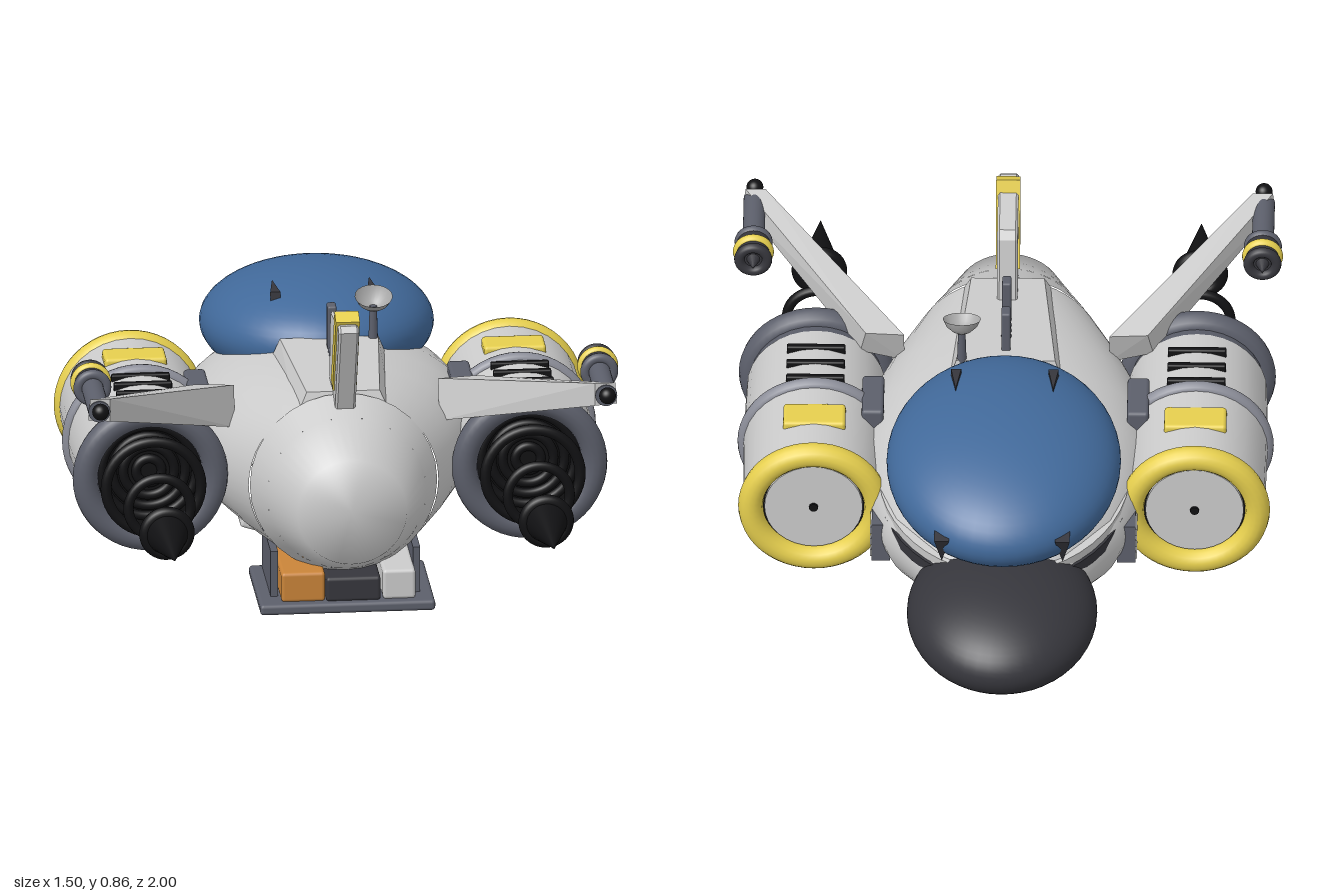
import * as THREE from 'three';
import { ConvexGeometry } from 'three/addons/geometries/ConvexGeometry.js';
import { RoundedBoxGeometry } from 'three/addons/geometries/RoundedBoxGeometry.js';

const mat = (color, side = THREE.FrontSide) => new THREE.MeshStandardMaterial({ color, side });
const GREY = mat(0xcccccc), STEEL = mat(0x5c5f6b), RIM = mat(0x8b8d98), DARK = mat(0x36363c);
const BLACK = mat(0x111113), BLUE = mat(0x41699a), YELLOW = mat(0xe6cf4e), ORANGE = mat(0xc98439);
const OPEN_STEEL = mat(0x5c5f6b, THREE.DoubleSide), DISH = mat(0xaaaaaa, THREE.DoubleSide);

export function createModel() {
  const model = new THREE.Group();

  const add = (name, geo, material, x = 0, y = 0, z = 0, parent = model) => {
    const m = new THREE.Mesh(geo, material);
    m.name = name;
    m.position.set(x, y, z);
    parent.add(m);
    return m;
  };
  const box = (w, h, d) => new THREE.BoxGeometry(w, h, d);
  const soft = (w, h, d, r = 0.01) => new RoundedBoxGeometry(w, h, d, 2, r);
  const ring = (R, t) => new THREE.TorusGeometry(R, t, 14, 48);
  const tubeZ = (r1, r2, len, open = false) =>
    new THREE.CylinderGeometry(r2, r1, len, 32, 1, open).rotateX(Math.PI / 2);
  const latheZ = pts => new THREE.LatheGeometry(pts.map(p => new THREE.Vector2(...p)), 48).rotateX(Math.PI / 2);
  const ellipsoid = (a, b, c) => new THREE.SphereGeometry(1, 48, 32).scale(a, b, c);
  const hullOf = pts => new ConvexGeometry(pts.map(p => new THREE.Vector3(...p)));

  // Elliptical sections [z, half width, half height, centre y] joined along z
  function loft(sections, n = 48) {
    const pos = [], idx = [];
    sections.forEach(([z, a, b, cy], i) => {
      for (let j = 0; j < n; j++) {
        const t = j / n * Math.PI * 2;
        pos.push(a * Math.cos(t), cy + b * Math.sin(t), z);
        if (i < sections.length - 1) {
          const p = i * n + j, q = i * n + (j + 1) % n;
          idx.push(p, q, p + n, q, q + n, p + n);
        }
      }
    });
    const g = new THREE.BufferGeometry();
    g.setAttribute('position', new THREE.Float32BufferAttribute(pos, 3));
    g.setIndex(idx);
    g.computeVertexNormals();
    return g;
  }

  // Hull, cockpit and nose
  add('hull', loft([
    [-0.70, 0.005, 0.005, 0.29], [-0.67, 0.1, 0.07, 0.295], [-0.6, 0.2, 0.13, 0.3],
    [-0.45, 0.32, 0.2, 0.315], [-0.3, 0.38, 0.228, 0.325], [-0.15, 0.405, 0.242, 0.33],
    [0, 0.405, 0.25, 0.333], [0.15, 0.37, 0.252, 0.335], [0.28, 0.32, 0.252, 0.335], [0.4, 0.26, 0.25, 0.335],
  ]), GREY);
  add('canopy', ellipsoid(0.32, 0.162, 0.388), BLUE, 0, 0.535, -0.37).rotation.x = -0.11;
  add('nose', ellipsoid(0.26, 0.143, 0.31), DARK, 0, 0.26, -0.69).rotation.x = -0.05;
  const belt = (name, y, r, h, m) => {
    add(name, new THREE.CylinderGeometry(r, r, h, 48).scale(1, 1, 1.2), m, 0, y, -0.25).rotation.x = -0.12;
  };
  belt('canopyRim', 0.405, 0.345, 0.03, GREY);
  belt('canopyRimShadow', 0.375, 0.35, 0.035, DARK);

  // Tail: flange and softly shaded end cap
  add('tailFlange', tubeZ(0.257, 0.218, 0.09, true), GREY, 0, 0.335, 0.445);
  add('tailCap', latheZ([[0.218, 0.49], [0.15, 0.65], [0, 0.65]]), GREY, 0, 0.335, 0);

  // Dorsal plate, fin and its yellow brace
  const plate = [];
  for (const s of [-1, 1]) {
    plate.push([s * 0.165, 0.53, -0.03], [s * 0.135, 0.61, -0.01], [s * 0.13, 0.53, 0.41], [s * 0.1, 0.595, 0.39]);
  }
  add('dorsalPlate', hullOf(plate), GREY);
  const fin = new THREE.Shape([[-0.555, 0.82], [-0.54, 0.83], [-0.33, 0.8], [-0.315, 0.78], [-0.285, 0.57], [-0.45, 0.57]]
    .map(p => new THREE.Vector2(...p)));
  const finGeo = new THREE.ExtrudeGeometry(fin, { depth: 0.044, bevelSize: 0.006, bevelThickness: 0.006, bevelSegments: 1 });
  add('tailFin', finGeo.translate(0, 0, -0.022).rotateY(Math.PI / 2), GREY);
  add('finBrace', box(0.066, 0.25, 0.045), YELLOW, 0, 0.735, 0.455).rotation.x = 0.4;

  // Antenna posts and dish
  for (const z of [0.2, 0.06]) {
    add('antennaPost', soft(0.025, 0.15, 0.042, 0.006), STEEL, 0, 0.655, z);
  }
  for (const z of [0.105, 0.13, 0.155]) add('dorsalStud', ellipsoid(0.014, 0.014, 0.01), STEEL, 0, 0.61, z);
  add('dishMast', new THREE.CylinderGeometry(0.01, 0.014, 0.13, 12), STEEL, 0.12, 0.635, 0);
  const bowl = [[0.004, 0], [0.025, 0.01], [0.042, 0.025], [0.052, 0.045]].map(p => new THREE.Vector2(...p));
  add('dish', new THREE.LatheGeometry(bowl, 24), DISH, 0.12, 0.69, 0).rotation.x = 0.3;

  // Rear cargo tray
  add('trayFloor', soft(0.48, 0.03, 0.34), STEEL, 0, 0.015, 0.36);
  for (const s of [-1, 1]) add('trayPost', box(0.02, 0.14, 0.25), STEEL, s * 0.195, 0.09, 0.33);
  add('orangeCrate', soft(0.12, 0.085, 0.3), ORANGE, -0.12, 0.07, 0.355);
  add('blackCrate', soft(0.15, 0.07, 0.3), DARK, 0.017, 0.062, 0.36);
  add('greyCrate', soft(0.09, 0.085, 0.3), GREY, 0.143, 0.07, 0.355);

  // Belly hatch with skids
  add('hatchRing', ring(0.142, 0.024).rotateX(Math.PI / 2), YELLOW, 0, 0.07, -0.17);
  add('hatch', new THREE.CylinderGeometry(0.14, 0.14, 0.04, 32), BLACK, 0, 0.085, -0.17);

  for (const s of [-1, 1]) {
    add('bellySkid', soft(0.09, 0.03, 0.2), GREY, s * 0.13, 0.118, -0.42).rotation.x = 0.2;
    add('bellyPanel', soft(0.12, 0.03, 0.2), GREY, s * 0.2, 0.125, 0.06).rotation.z = s * 0.3;

    // Canopy trims
    add('canopyHorn', hullOf([[-0.014, -0.02, 0.05], [0.014, -0.02, 0.05], [-0.014, 0.02, 0.045], [0.014, 0.02, 0.045],
      [0, 0.022, -0.05], [0, -0.02, -0.05]]), DARK, s * 0.133, 0.672, -0.205);
    add('visorFin', hullOf([[-0.02, 0.06, 0.01], [0.02, 0.06, 0.01], [-0.02, 0.05, -0.04], [0.02, 0.05, -0.04],
      [0, -0.065, 0.04], [0, -0.06, 0.02]]), DARK, s * 0.165, 0.47, -0.68);

    // Side vent
    add('ventBox', box(0.05, 0.12, 0.085), STEEL, s * 0.335, 0.29, -0.375);
    for (let i = 0; i < 3; i++) add('ventSlat', box(0.054, 0.022, 0.075), GREY, s * 0.337, 0.252 + i * 0.038, -0.375);

    // Engine nacelle
    const pod = new THREE.Group();
    pod.name = s > 0 ? 'leftNacelle' : 'rightNacelle';
    pod.position.set(s * 0.52, 0.335, 0);
    model.add(pod);
    const part = (n, g, m, x = 0, y = 0, z = 0) => add(n, g, m, x, y, z, pod);
    part('nacelleBody', tubeZ(0.192, 0.196, 0.32, true), GREY, 0, 0, -0.16);
    part('nacelleRearBody', tubeZ(0.196, 0.19, 0.235, true), GREY, 0, 0, 0.1175);
    part('frontLip', ring(0.172, 0.034), YELLOW, 0, 0, -0.31);
    part('frontGap', tubeZ(0.16, 0.16, 0.02), BLACK, 0, 0, -0.295);
    part('frontDisc', tubeZ(0.134, 0.134, 0.03), GREY, 0, 0, -0.3);
    part('discBolt', tubeZ(0.012, 0.012, 0.02), BLACK, 0, 0, -0.312);
    part('middleBand', ring(0.192, 0.02), RIM, 0, 0, -0.015);
    part('rearCollar', tubeZ(0.19, 0.175, 0.07, true), OPEN_STEEL, 0, 0, 0.265);
    part('rearLip', ring(0.178, 0.035), STEEL, 0, 0, 0.3);
    part('exhaustDisc', tubeZ(0.18, 0.18, 0.02), BLACK, 0, 0, 0.24);
    for (const r of [0.13, 0.1, 0.07, 0.035]) part('exhaustRing', ring(r, 0.013), BLACK, 0, 0, 0.255);
    part('topLight', soft(0.17, 0.04, 0.095), YELLOW, 0, 0.177, -0.152);
    for (const z of [0.02, 0.088, 0.158]) part('topSlat', soft(0.16, 0.03, 0.02, 0.005), BLACK, 0, 0.183, z);
    part('pylon', soft(0.06, 0.08, 0.17), STEEL, -s * 0.158, 0.125, -0.015);
    const marker = part('innerLight', soft(0.04, 0.05, 0.1), YELLOW, -s * 0.175, -0.125, -0.15);
    marker.rotation.z = s * 0.6;

    // Exhaust plume
    [[0.39, 0.13, 0.015], [0.56, 0.085, 0.014], [0.77, 0.058, 0.018]]
      .forEach(([z, R, t]) => part('plumeRing', ring(R, t), BLACK, 0, 0, z));
    part('plumeTip', new THREE.ConeGeometry(0.06, 0.23, 32).rotateX(Math.PI / 2), BLACK, 0, 0, 0.885);

    // Swept strut with wingtip pod
    add('strut', hullOf([
      [s * 0.28, 0.55, 0.185], [s * 0.385, 0.555, 0.185], [s * 0.28, 0.44, 0.22], [s * 0.4, 0.47, 0.22],
      [s * 0.665, 0.69, 0.66], [s * 0.72, 0.69, 0.66], [s * 0.665, 0.625, 0.66], [s * 0.725, 0.63, 0.66],
    ]), GREY);
    const tip = new THREE.Group();
    tip.name = 'wingtipPod';
    tip.position.set(s * 0.695, 0.655, 0);
    model.add(tip);
    add('podBarrel', tubeZ(0.03, 0.03, 0.24), STEEL, 0, 0, 0.545, tip);
    add('podHead', tubeZ(0.046, 0.046, 0.09), DARK, 0, 0, 0.43, tip);
    add('podBand', ring(0.042, 0.014), YELLOW, 0, 0, 0.42, tip);
    add('podCollar', ring(0.038, 0.014), STEEL, 0, 0, 0.465, tip);
    add('podHeadCollar', ring(0.038, 0.014), DARK, 0, 0, 0.385, tip);
    add('podSpike', new THREE.ConeGeometry(0.02, 0.05, 16).rotateX(-Math.PI / 2), DARK, 0, 0, 0.365, tip);
    add('podBall', ellipsoid(0.023, 0.023, 0.023), BLACK, 0, 0.012, 0.7, tip);
  }
  return model;
}
